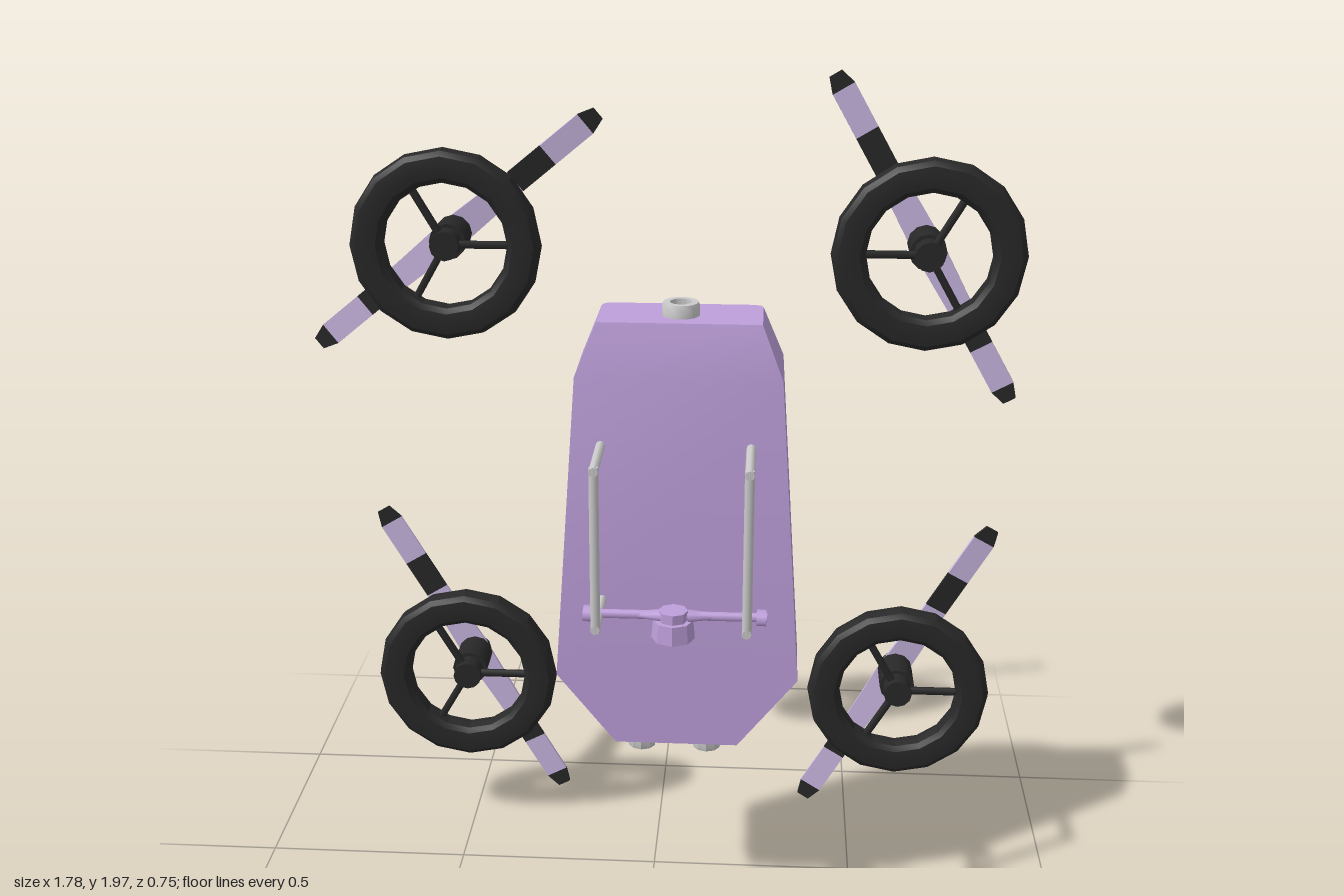
import * as THREE from 'three';
import { toCreasedNormals } from 'three/addons/utils/BufferGeometryUtils.js';

const mat = (color, opts = {}) => new THREE.MeshStandardMaterial({ color, ...opts });
const lilac = mat(0xbd9fda);
const paleLilac = mat(0xcbb8e2);
const black = mat(0x282828);
const grey = mat(0xcccccc);
const CX = 0.066; // centre line of the body

function add(parent, name, geometry, material, x = 0, y = 0, z = 0) {
  const mesh = new THREE.Mesh(geometry, material);
  mesh.name = name;
  mesh.position.set(x, y, z);
  parent.add(mesh);
  return mesh;
}

// Skins a stack of cross-sections (rings of [x, y, z], counter-clockwise from above, bottom to top)
function loft(rings, crease) {
  const p = [];
  const n = rings[0].length;
  for (let i = 0; i < rings.length - 1; i++) {
    for (let j = 0; j < n; j++) {
      const k = (j + 1) % n;
      const a = rings[i][j], b = rings[i][k], c = rings[i + 1][k], d = rings[i + 1][j];
      p.push(...a, ...b, ...c, ...a, ...c, ...d);
    }
  }
  const lo = rings[0], hi = rings[rings.length - 1];
  for (let j = 1; j < n - 1; j++) {
    p.push(...lo[0], ...lo[j + 1], ...lo[j], ...hi[0], ...hi[j], ...hi[j + 1]);
  }
  const g = new THREE.BufferGeometry();
  g.setAttribute('position', new THREE.Float32BufferAttribute(p, 3));
  return toCreasedNormals(g, crease);
}

// Open ring-shaped pipe standing on y = 0
function pipe(outer, inner, height, sides) {
  const profile = [[inner, 0], [outer, 0], [outer, height * 0.75], [outer * 0.93, height], [inner, height], [inner, 0]];
  return toCreasedNormals(new THREE.LatheGeometry(profile.map(([r, y]) => new THREE.Vector2(r, y)), sides), 0.6);
}

function buildBody() {
  const g = new THREE.Group();
  g.name = 'body';
  // height, half width, front z, back z, back corner bevel
  const sections = [
    [0.49, 0.145, 0.207, 0.066, 0.02],
    [0.665, 0.285, 0.205, -0.02, 0.03],
    [1.40, 0.233, 0.198, -0.04, 0.03],
    [1.52, 0.185, 0.167, 0.0, 0.02],
  ];
  const rings = sections.map(([y, w, f, b, c]) => [
    [-w, f], [w, f], [w, b + c], [w - c * 0.3, b + c * 0.3], [w - c, b],
    [c - w, b], [c * 0.3 - w, b + c * 0.3], [-w, b + c],
  ].map(([x, z]) => [CX + x, y, z]));
  add(g, 'shell', loft(rings, 0.85), lilac);

  // Raised panel on the back, with a dark vent in its upper end
  const panel = [
    [0.80, 0.135, 0.0, -0.035],
    [0.815, 0.12, 0.0, -0.048],
    [1.35, 0.115, 0.0, -0.08],
    [1.395, 0.135, 0.0, -0.038],
  ].map(([y, w, f, b]) => [[-w, f], [w, f], [w * 0.94, b], [-w * 0.94, b]].map(([x, z]) => [CX + x, y, z]));
  add(g, 'backPanel', loft(panel, 0.3), grey);
  const vent = add(g, 'panelVent', new THREE.BoxGeometry(0.2, 0.004, 0.036), black, CX, 1.373, -0.059);
  vent.rotation.x = Math.atan2(0.045, 0.042) ;

  // Filler neck on top and two nozzles underneath
  add(g, 'topPort', pipe(0.043, 0.025, 0.03, 16), grey, CX, 1.52, 0.092);
  add(g, 'topPortHole', new THREE.CylinderGeometry(0.026, 0.026, 0.008, 16), black, CX, 1.524, 0.092);
  for (const x of [-0.02, 0.137]) {
    const nozzle = add(g, 'bottomNozzle', pipe(0.035, 0.02, 0.036, 10), grey, x, 0.491, 0.147);
    nozzle.rotation.x = Math.PI;
    add(g, 'nozzleHole', new THREE.CylinderGeometry(0.021, 0.021, 0.008, 10), black, x, 0.485, 0.147);
  }
  return g;
}

function buildFrontFrame() {
  const g = new THREE.Group();
  g.name = 'frontFrame';
  const tube = 0.022;
  for (const side of [-1, 1]) {
    const x = CX - 0.005 + side * 0.17;
    add(g, 'frameUpright', new THREE.CylinderGeometry(tube / 2, tube / 2, 0.395, 8), grey, x, 1.0525, 0.365);
    for (const y of [0.863, 1.242]) {
      const arm = add(g, 'frameArm', new THREE.CylinderGeometry(tube / 2, tube / 2, 0.185, 8), grey, x, y, 0.2825);
      arm.rotation.x = Math.PI / 2;
    }
    // Clamps at the ends of the crossbar
    const clamp = add(g, 'crossbarClamp', new THREE.CylinderGeometry(0.028, 0.028, 0.022, 8), lilac,
      CX - 0.001 + side * 0.198, 0.865, 0.285);
    clamp.rotation.z = Math.PI / 2;
    clamp.scale.x = 0.6;
    const collar = add(g, 'crossbarCollar', new THREE.CylinderGeometry(0.01, 0.022, 0.06, 8), lilac,
      CX + side * 0.06, 0.865, 0.285);
    collar.rotation.z = -side * Math.PI / 2;
    collar.scale.x = 0.6;
  }
  const bar = add(g, 'crossbar', new THREE.CylinderGeometry(0.011, 0.011, 0.42, 8), lilac, CX, 0.865, 0.285);
  bar.rotation.z = Math.PI / 2;
  const flat = mat(0xbd9fda, { flatShading: true });
  add(g, 'spoutNeck', new THREE.CylinderGeometry(0.034, 0.034, 0.03, 8), flat, CX - 0.004, 0.864, 0.288);
  add(g, 'spout', new THREE.CylinderGeometry(0.046, 0.05, 0.045, 8), flat, CX - 0.004, 0.833, 0.288);
  return g;
}

// Flat tapered strip running along x from r0 to r1
function strip(r0, r1, w0, w1) {
  const s = new THREE.Shape();
  s.moveTo(r0, -w0 / 2);
  s.lineTo(r1, -w1 / 2);
  s.lineTo(r1, w1 / 2);
  s.lineTo(r0, w0 / 2);
  const g = new THREE.ExtrudeGeometry(s, { depth: 0.008, bevelEnabled: false });
  return g.translate(0, 0, -0.004);
}

function buildRotor(x, y, z, angle, spin) {
  const g = new THREE.Group();
  g.name = 'rotorUnit';
  g.position.set(x, y, z);

  // Tyre with a rounded, flattened profile
  const profile = [];
  for (let i = 0; i <= 12; i++) {
    const t = (i / 12) * Math.PI * 2;
    const soft = (v) => Math.sign(v) * Math.abs(v) ** 0.7;
    profile.push(new THREE.Vector2(0.192 + 0.042 * soft(Math.cos(t)), 0.036 * soft(Math.sin(t))));
  }
  const tyreGeo = toCreasedNormals(new THREE.LatheGeometry(profile, 16), 0.35);
  add(g, 'tyre', tyreGeo, black).rotation.x = Math.PI / 2;

  for (let i = 0; i < 3; i++) {
    const a = spin + (i * Math.PI * 2) / 3;
    const spoke = add(g, 'spoke', new THREE.CylinderGeometry(0.01, 0.01, 0.14, 6), black,
      Math.cos(a) * 0.09, Math.sin(a) * 0.09, 0);
    spoke.rotation.z = a - Math.PI / 2;
  }
  const hub = add(g, 'hub', new THREE.CylinderGeometry(0.036, 0.036, 0.05, 12), black, 0, 0, 0);
  hub.rotation.x = Math.PI / 2;
  const motor = add(g, 'motor', new THREE.CylinderGeometry(0.045, 0.045, 0.1, 12), black, 0, 0, -0.073);
  motor.rotation.x = Math.PI / 2;
  const cap = add(g, 'motorCap', new THREE.CylinderGeometry(0.038, 0.038, 0.032, 12), black, 0, 0, -0.134);
  cap.rotation.x = Math.PI / 2;

  // Two-bladed propeller with banded blades
  const propeller = new THREE.Group();
  propeller.name = 'propeller';
  propeller.position.z = -0.136;
  propeller.rotation.z = angle;
  for (const turn of [0, Math.PI]) {
    const blade = new THREE.Group();
    blade.name = 'blade';
    blade.rotation.set(0.08, 0, turn, 'ZYX');
    add(blade, 'bladeRoot', strip(0, 0.2, 0.075, 0.06), paleLilac);
    add(blade, 'bladeBand', strip(0.2, 0.305, 0.06, 0.06), black);
    add(blade, 'bladeOuter', strip(0.305, 0.425, 0.06, 0.06), paleLilac);
    add(blade, 'bladeTip', strip(0.425, 0.465, 0.06, 0.034), black);
    propeller.add(blade);
  }
  g.add(propeller);
  return g;
}

export function createModel() {
  const model = new THREE.Group();
  model.name = 'sprayerDrone';
  model.add(buildBody(), buildFrontFrame());
  const deg = Math.PI / 180;
  // x, y, z of the wheel centre, propeller angle, spoke offset
  const rotors = [
    [-0.52, 1.595, -0.226, 39.3, 0],
    [0.64, 1.587, -0.226, -60, 60],
    [-0.505, 0.45, -0.213, -60, 0],
    [0.62, 0.435, -0.213, 60, 0],
  ];
  for (const [x, y, z, a, s] of rotors) model.add(buildRotor(x, y, z, a * deg, s * deg));
  return model;
}
